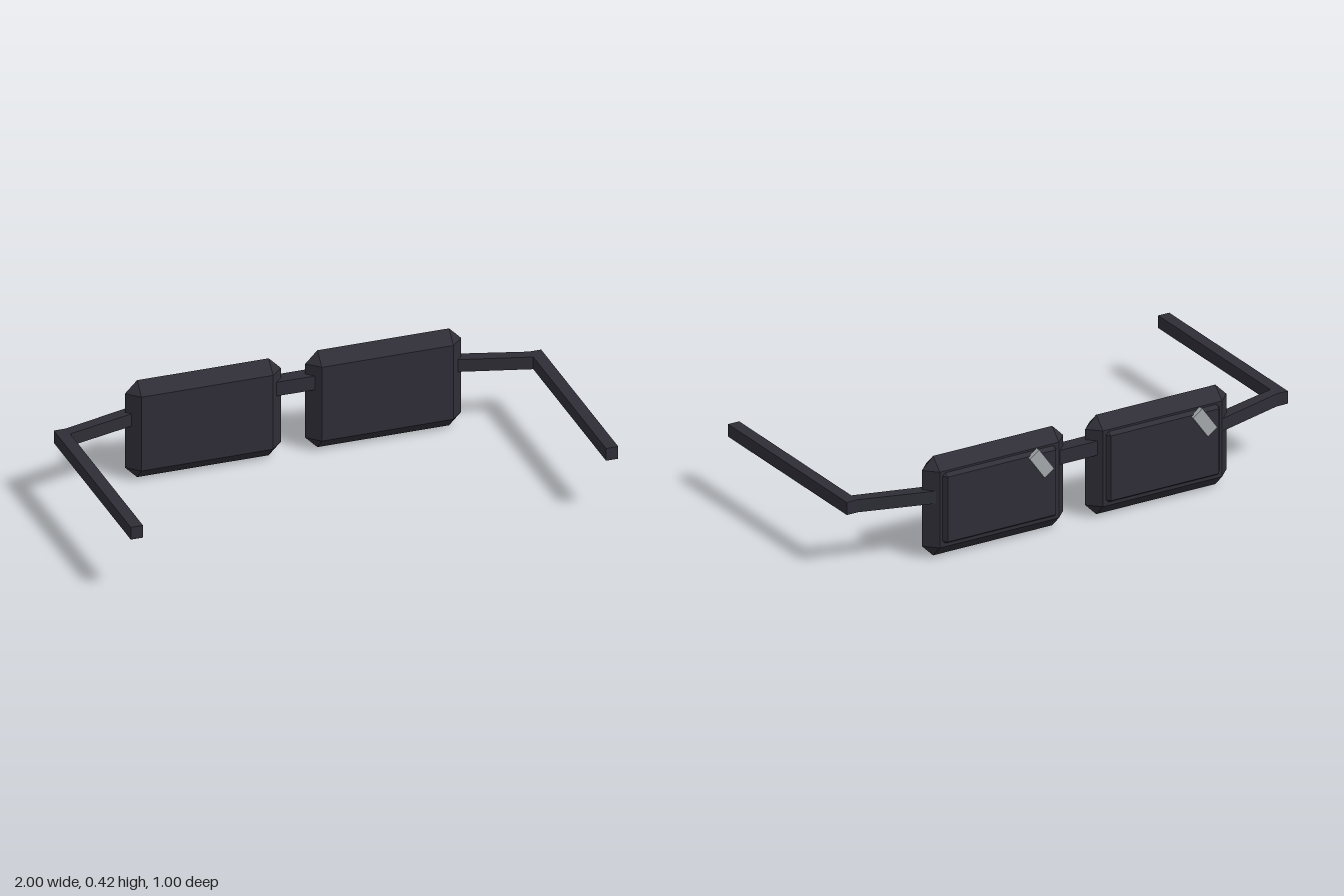
import * as THREE from 'three';
import { ConvexGeometry } from 'three/addons/geometries/ConvexGeometry.js';

const frameMat = new THREE.MeshStandardMaterial({ color: 0x2f2e37 });
frameMat.name = 'dark frame';
const glintMat = new THREE.MeshStandardMaterial({ color: 0xa4a8ac });
glintMat.name = 'pale glint';

function add(group, name, geometry, material, x = 0, y = 0, z = 0) {
  const mesh = new THREE.Mesh(geometry, material);
  mesh.name = name;
  mesh.position.set(x, y, z);
  group.add(mesh);
  return mesh;
}

// Slab with all edges chamfered to a ridge halfway through its depth
function chamferedSlab(halfW, halfH, halfD, bevel) {
  const points = [];
  for (const sx of [-1, 1]) for (const sy of [-1, 1]) {
    const x = sx * (halfW - bevel), y = sy * (halfH - bevel);
    points.push(
      new THREE.Vector3(x, y, halfD), new THREE.Vector3(x, y, -halfD),
      new THREE.Vector3(sx * halfW, y, 0), new THREE.Vector3(x, sy * halfH, 0));
  }
  return new ConvexGeometry(points);
}

// Hinge piece and temple as one bent bar, outlined from above
function armGeometry(side) {
  const outline = [[1, 0.5], [1, -0.37], [0.95, -0.37], [0.64, -0.462],
    [0.64, -0.408], [0.95, -0.322], [0.95, 0.5]];
  const shape = new THREE.Shape(outline.map(([x, z]) => new THREE.Vector2(side * x, -z)));
  const geometry = new THREE.ExtrudeGeometry(shape, { depth: 0.053, bevelEnabled: false });
  return geometry.rotateX(-Math.PI / 2);
}

export function createModel() {
  const model = new THREE.Group();
  model.name = 'glasses';

  for (const [side, label] of [[1, 'left'], [-1, 'right']]) {
    add(model, label + 'Rim', chamferedSlab(0.32, 0.21, 0.05, 0.05), frameMat, side * 0.37, 0.21, -0.42);
    add(model, label + 'Lens', chamferedSlab(0.265, 0.157, 0.03, 0.02), frameMat, side * 0.37, 0.213, -0.458);
    add(model, label + 'Arm', armGeometry(side), frameMat, 0, 0.236, 0);
  }

  // Bridge between the rims
  add(model, 'bridge', new THREE.BoxGeometry(0.17, 0.06, 0.064), frameMat, 0, 0.296, -0.423);

  // Slanted highlights, both leaning the same way
  for (const [x, label] of [[0.195, 'left'], [-0.545, 'right']]) {
    const glint = add(model, label + 'Glint', new THREE.BoxGeometry(0.117, 0.052, 0.02), glintMat, x, 0.312, -0.49);
    glint.rotation.z = 0.95;
  }
  return model;
}
